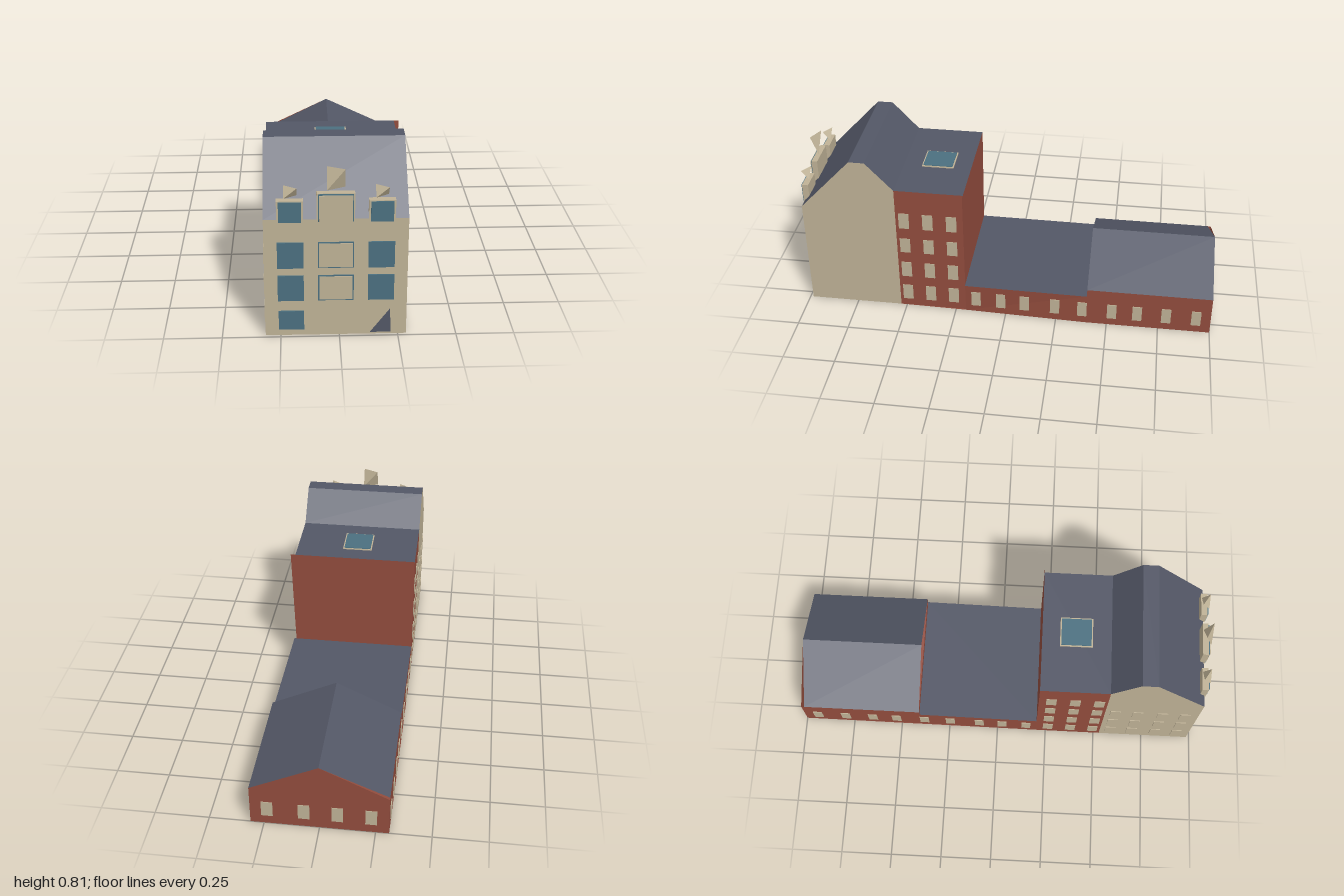
import * as THREE from 'three';

const mat = (name, color) => {
  const m = new THREE.MeshStandardMaterial({ color, side: THREE.DoubleSide });
  m.name = name;
  return m;
};

export function createModel() {
  const stone = mat('stone', 0xbfb296), brick = mat('brick', 0x924c3d);
  const slate = mat('slate', 0x535766), glass = mat('glass', 0x4b7080);
  const model = new THREE.Group();

  // Flat faces, each a list of corners drawn as a fan
  const faces = (name, material, ...polys) => {
    const pos = [];
    for (const p of polys)
      for (let i = 1; i < p.length - 1; i++) pos.push(...p[0], ...p[i], ...p[i + 1]);
    const g = new THREE.BufferGeometry();
    g.setAttribute('position', new THREE.Float32BufferAttribute(pos, 3));
    g.computeVertexNormals();
    const mesh = new THREE.Mesh(g, material);
    mesh.name = name;
    model.add(mesh);
  };
  // Box given by its limits
  const box = (name, material, x0, x1, y0, y1, z0, z1) => {
    const mesh = new THREE.Mesh(new THREE.BoxGeometry(x1 - x0, y1 - y0, z1 - z0), material);
    mesh.position.set((x0 + x1) / 2, (y0 + y1) / 2, (z0 + z1) / 2);
    mesh.name = name;
    model.add(mesh);
  };

  const L = -0.315, R = 0.286, B = -0.31, W = 0.312, F = 0.985, M = 0.53, H = 0.2, K = -0.4;

  // Front house: gable profile as [z, y]
  const profile = [[F, 0], [F, 0.55], [0.735, 0.815], [0.66, 0.815], [M, 0.675], [M, 0]];
  const strip = (i) => {
    const [a, b] = [profile[i], profile[(i + 1) % profile.length]];
    return [[L, a[1], a[0]], [R, a[1], a[0]], [R, b[1], b[0]], [L, b[1], b[0]]];
  };
  faces('frontHouseWalls', stone, strip(0), strip(5),
    profile.map(([z, y]) => [R, y, z]), profile.map(([z, y]) => [L, y, z]).reverse());
  faces('frontHouseRoof', slate, strip(1), strip(2), strip(3));

  // Tall brick block with a slightly flared rear wall
  faces('tallBlockWalls', brick,
    [[R, 0, M], [R, 0, H], [R, 0.675, H], [R, 0.675, M]],
    [[L, 0, H], [L, 0, M], [L, 0.675, M], [L, 0.675, H]],
    [[0.289, 0, H], [L, 0, H], [L, 0.675, H], [0.31, 0.675, H]]);
  faces('tallBlockRoof', slate, [[L, 0.675, M], [R, 0.675, M], [R, 0.675, H], [L, 0.675, H]]);
  box('skylightFrame', stone, -0.09, 0.055, 0.674, 0.68, 0.285, 0.44);
  box('skylightGlass', glass, -0.084, 0.049, 0.678, 0.683, 0.291, 0.434);

  // Low wing and rear hall walls
  faces('wingWalls', brick,
    [[0.292, 0, H], [W, 0, K], [W, 0.16, K], [0.3, 0.16, H]],
    [[B, 0, K], [L, 0, H], [L, 0.16, H], [B, 0.16, K]]);
  faces('wingRoof', slate, [[L, 0.16, H], [0.305, 0.16, H], [W, 0.16, K], [B, 0.16, K]]);
  const inner = [0, 0.22, -0.48], peak = [0, 0.35, K], eaveL = [B, 0.2, K], eaveR = [W, 0.2, K];
  faces('hallWalls', brick,
    [[W, 0, K], [W, 0, -1], [W, 0.2, -1], eaveR],
    [[B, 0, -1], [B, 0, K], eaveL, [B, 0.2, -1]],
    [[W, 0, -1], [B, 0, -1], [B, 0.2, -1], [0, 0.35, -1], [W, 0.2, -1]],
    [[B, 0.16, K], [W, 0.16, K], eaveR, eaveL],
    [eaveL, eaveR, inner], [eaveR, peak, inner], [peak, eaveL, inner]);
  faces('hallRoof', slate,
    [eaveR, [W, 0.2, -1], [0, 0.35, -1], peak],
    [[B, 0.2, -0.985], eaveL, peak, [0, 0.35, -1]]);
  faces('brickUnderside', brick,
    [[L, 0, H], [0.292, 0, H], [R, 0, M], [L, 0, M]],
    [[B, 0, -1], [W, 0, -1], [W, 0, K], [0.292, 0, H], [L, 0, H], [B, 0, K]]);

  // Side windows of the brick parts, on both long sides
  const rows = [[0.04, 0.125], [0.18, 0.265], [0.325, 0.405], [0.465, 0.55]];
  for (const [y0, y1] of rows)
    for (const z of [0.49, 0.375, 0.26])
      for (const x of [R, L])
        box('tallBlockWindow', stone, x - 0.003, x + 0.003, y0, y1, z - 0.025, z + 0.025);
  for (const z of [0.147, 0.024, -0.094, -0.244, -0.378, -0.523, -0.646, -0.786, -0.93]) {
    const t = Math.min(1, (H - z) / (H - K));
    for (const x of [0.296 + 0.016 * t, L + 0.005 * t])
      box('wingWindow', stone, x - 0.004, x + 0.004, 0.04, 0.122, z - 0.023, z + 0.023);
  }
  for (const x of [0.235, 0.07, -0.08, -0.23])
    box('rearWindow', stone, x - 0.026, x + 0.026, 0.045, 0.125, -1.003, -0.997);

  // Blind windows on the gable
  for (const [y0, y1] of rows.slice(0, 3))
    for (const z of [0.58, 0.69, 0.81, 0.92])
      box('blindWindow', stone, L - 0.004, L + 0.002, y0, y1, z - 0.025, z + 0.025);

  // Front windows and door
  for (const [y0, y1] of [[0.17, 0.29], [0.325, 0.445]]) {
    box('frontWindow', glass, -0.26, -0.15, y0, y1, F - 0.002, F + 0.006);
    box('frontWindow', glass, 0.12, 0.23, y0, y1, F - 0.002, F + 0.006);
    box('centreWindowFrame', glass, -0.09, 0.06, y0, y1, F - 0.002, F + 0.004);
    box('centreWindowPanel', stone, -0.085, 0.055, y0 + 0.005, y1 - 0.005, F, F + 0.007);
  }
  box('lowerWindow', glass, -0.258, -0.15, 0.03, 0.12, F - 0.002, F + 0.006);
  faces('door', slate, [[0.13, 0.01, F + 0.004], [0.22, 0.01, F + 0.004], [0.215, 0.125, F + 0.004]]);

  // Dormers
  for (const x of [-0.26, 0.12]) {
    box('dormer', stone, x, x + 0.11, 0.54, 0.635, 0.962, 0.992);
    box('dormerGlass', glass, x + 0.008, x + 0.102, 0.541, 0.631, 0.99, 0.997);
  }
  box('centreDormer', stone, -0.095, 0.063, 0.54, 0.667, 0.962, 0.99);
  box('centreDormerFrame', glass, -0.088, 0.058, 0.541, 0.665, 0.988, 0.994);
  box('centreDormerPanel', stone, -0.084, 0.054, 0.543, 0.66, 0.992, 0.999);

  // Four-faced finials above the dormers
  for (const [x0, x1, y0, y1] of [[-0.23, -0.175, 0.65, 0.695], [0.148, 0.202, 0.65, 0.695], [-0.052, 0.023, 0.685, 0.777]]) {
    const a = [x0, y0, 0.998], b = [x1, y1, 0.998], c = [x0, y1, 0.963], d = [x1, y0, 0.963];
    faces('finial', stone, [a, b, c], [a, d, b], [a, c, d], [b, d, c]);
  }
  return model;
}
